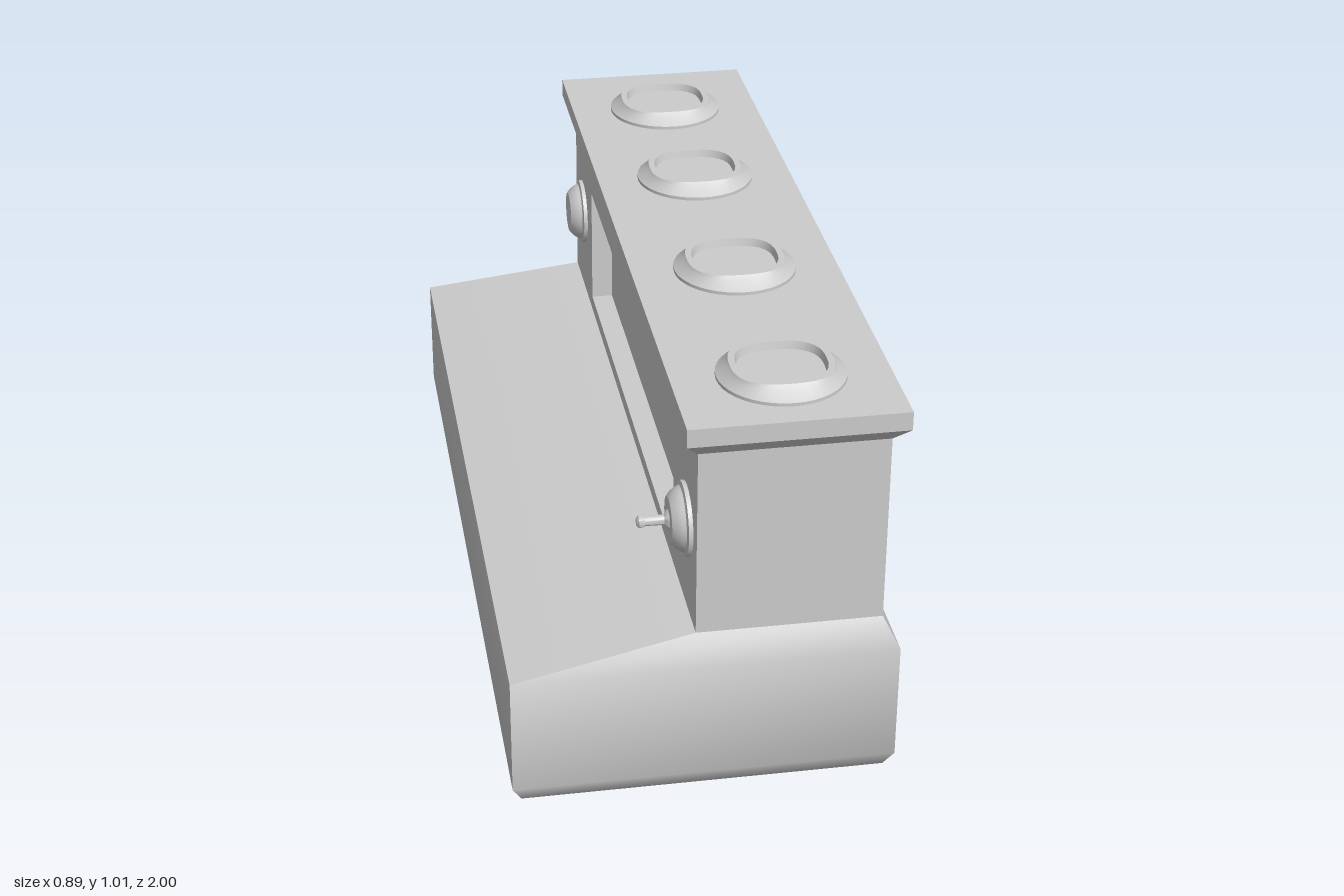
import * as THREE from 'three';
import { toCreasedNormals } from 'three/addons/utils/BufferGeometryUtils.js';

const gray = new THREE.MeshStandardMaterial({ color: 0xcccccc });
gray.name = 'light gray';

// Skin a stack of rings (each an array of [x, y, z]) and close both ends.
function loft(rings, crease = 0.6) {
  const pos = [];
  const tri = (a, b, c) => pos.push(...a, ...b, ...c);
  const n = rings[0].length;
  for (let i = 0; i < rings.length - 1; i++) {
    for (let j = 0; j < n; j++) {
      const k = (j + 1) % n;
      const [a, b, c, d] = [rings[i][j], rings[i][k], rings[i + 1][k], rings[i + 1][j]];
      tri(a, b, c);
      tri(a, c, d);
    }
  }
  const bottom = rings[0], top = rings[rings.length - 1];
  for (let j = 1; j < n - 1; j++) {
    tri(bottom[0], bottom[j + 1], bottom[j]);
    tri(top[0], top[j], top[j + 1]);
  }
  const geo = new THREE.BufferGeometry();
  geo.setAttribute('position', new THREE.Float32BufferAttribute(pos, 3));
  return toCreasedNormals(geo, crease);
}

// Rectangular ring at height y.
const rect = ([y, x0, x1, z]) => [[x0, y, z], [x1, y, z], [x1, y, -z], [x0, y, -z]];

// Rounded ring; power 2 is a circle, higher is squarer.
function rounded(y, rx, rz, power) {
  const ring = [];
  for (let i = 0; i < 40; i++) {
    const a = (i / 40) * Math.PI * 2;
    const c = Math.cos(a), s = Math.sin(a);
    const k = Math.pow(Math.abs(c) ** power + Math.abs(s) ** power, -1 / power);
    ring.push([rx * c * k, y, -rz * s * k]);
  }
  return ring;
}

function add(parent, name, geo, x = 0, y = 0, z = 0) {
  const mesh = new THREE.Mesh(geo, gray);
  mesh.name = name;
  mesh.position.set(x, y, z);
  parent.add(mesh);
  return mesh;
}

function lathe(points) {
  const geo = new THREE.LatheGeometry(points.map(p => new THREE.Vector2(...p)), 32);
  return toCreasedNormals(geo, 0.6);
}

export function createModel() {
  const group = new THREE.Group();
  group.name = 'counter';

  // Base with softened underside and sloping shoulder
  add(group, 'base', loft([
    [0, -0.385, 0.385, 0.94],
    [0.022, -0.425, 0.425, 0.978],
    [0.065, -0.447, 0.447, 1],
    [0.357, -0.447, 0.447, 1],
    [0.425, -0.02, 0.412, 0.96],
  ].map(rect)));

  // Upper body
  add(group, 'upperBody', loft([
    [0.425, 0.035, 0.412, 0.96],
    [0.89, 0.035, 0.412, 0.96],
  ].map(rect), 0.1));

  // Panel with a long recessed opening
  const outline = new THREE.Shape();
  outline.moveTo(-0.96, 0.425).lineTo(0.96, 0.425).lineTo(0.96, 0.89).lineTo(-0.96, 0.89);
  const opening = new THREE.Path();
  opening.moveTo(-0.66, 0.463).lineTo(-0.66, 0.776).lineTo(0.66, 0.776).lineTo(0.66, 0.463);
  outline.holes.push(opening);
  const panel = add(group, 'recessedPanel',
    new THREE.ExtrudeGeometry(outline, { depth: 0.055, bevelEnabled: false }), 0.035);
  panel.rotation.y = -Math.PI / 2;

  // Flared top slab
  add(group, 'topSlab', loft([
    [0.89, -0.02, 0.412, 0.96],
    [0.93, -0.052, 0.445, 1],
    [0.975, -0.052, 0.445, 1],
  ].map(rect), 0.1));

  // Four sockets along the top, round at the foot and squarer at the rim
  const socket = loft([
    rounded(0, 0.147, 0.147, 2),
    rounded(0.009, 0.147, 0.147, 2),
    rounded(0.026, 0.124, 0.118, 2.3),
    rounded(0.035, 0.117, 0.107, 2.7),
    rounded(0.035, 0.102, 0.093, 2.7),
    rounded(0.016, 0.098, 0.089, 2.7),
  ]);
  for (const z of [-0.752, -0.292, 0.247, 0.787]) add(group, 'topSocket', socket, 0.197, 0.974, z);

  // Round control on each end of the panel
  const control = lathe([
    [0, 0], [0.087, 0], [0.087, 0.01], [0.077, 0.013], [0.074, 0.02],
    [0.066, 0.032], [0.054, 0.042], [0.052, 0.042], [0, 0.042],
  ]);
  for (const z of [-0.825, 0.832]) add(group, 'roundControl', control, -0.02, 0.65, z).rotation.z = Math.PI / 2;

  // Toggle lever on the front control
  const lever = lathe([
    [0, 0], [0.024, 0], [0.02, 0.006], [0.012, 0.012], [0.011, 0.055],
    [0.014, 0.06], [0.014, 0.07], [0.008, 0.075], [0, 0.075],
  ]);
  add(group, 'toggleLever', lever, -0.06, 0.651, 0.832).rotation.z = Math.PI / 2;

  return group;
}
